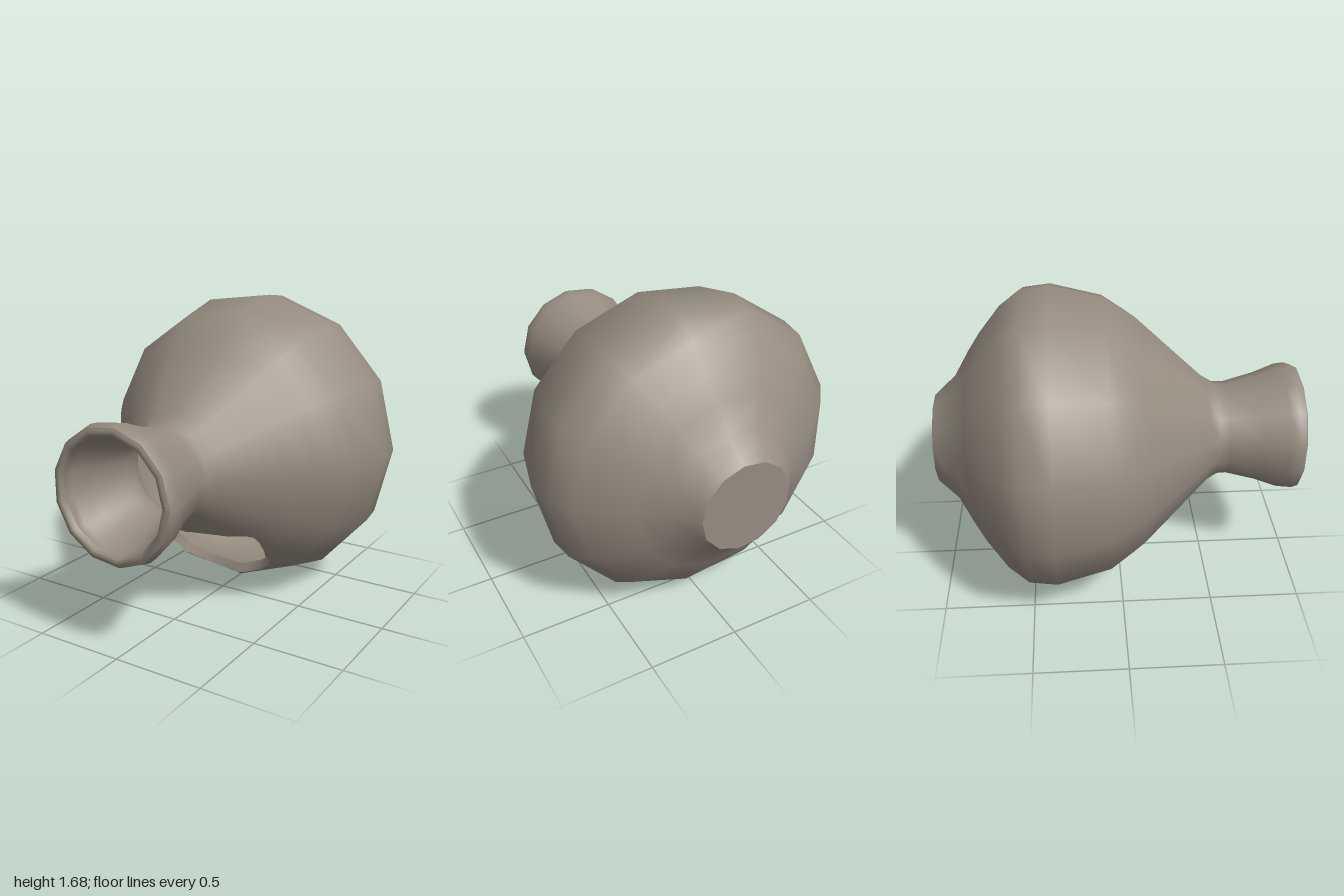
import * as THREE from 'three';

const SIDES = 13, STEP = (Math.PI * 2) / SIDES, WALL = 0.055, DEG = Math.PI / 180;

// Wall profile [radius, z] from the foot to the lip
const PROFILE = [
  [0.25, -1], [0.265, -0.985], [0.355, -0.885], [0.5, -0.8], [0.6, -0.735], [0.745, -0.62],
  [0.83, -0.51], [0.848, -0.36], [0.775, -0.07], [0.65, 0.11], [0.3, 0.48], [0.265, 0.54],
  [0.262, 0.6], [0.31, 0.78], [0.355, 0.9], [0.361, 0.955], [0.35, 0.99],
];
const LAST = PROFILE.length - 1, SHOULDER = 8, NECK = 10;

// Broken opening: [degrees from straight down, near radius, far radius]
const BREAK = [
  [0, 0.35, 0.762], [10, 0.355, 0.757], [19, 0.375, 0.74], [26, 0.4, 0.715], [31, 0.424, 0.68],
  [37, 0.46, 0.61], [41, 0.49, 0.555], [42.5, 0.52, 0.52],
];
const LIMIT = 42.5;

const NORMALS = PROFILE.map((_, i) => {
  const a = PROFILE[Math.max(i - 1, 0)], b = PROFILE[Math.min(i + 1, LAST)];
  const l = Math.hypot(b[0] - a[0], b[1] - a[1]);
  return [(b[1] - a[1]) / l, (a[0] - b[0]) / l];
});

const mix = (a, b, k) => a + (b - a) * k;

// Ratio of the straight-sided outline to a true circle at an angle
function flatness(angle) {
  const a = ((angle % STEP) + STEP) % STEP;
  return Math.cos(STEP / 2) / Math.cos(a - STEP / 2);
}

// Point and normal on the wall, at a depth below the outer skin
function wallPoint(angle, t, depth) {
  const i = Math.min(Math.floor(t), LAST - 1), k = t - i;
  const nr = mix(NORMALS[i][0], NORMALS[i + 1][0], k), nz = mix(NORMALS[i][1], NORMALS[i + 1][1], k);
  const r = (mix(PROFILE[i][0], PROFILE[i + 1][0], k) - nr * depth) * flatness(angle);
  const c = Math.cos(angle), s = Math.sin(angle);
  return {
    p: [r * c, r * s, mix(PROFILE[i][1], PROFILE[i + 1][1], k) - nz * depth],
    n: new THREE.Vector3(nr * c, nr * s, nz).normalize(),
  };
}

// Profile position on the shoulder for a radius
function shoulderAt(r) {
  for (let i = SHOULDER; i < NECK; i++) {
    const a = PROFILE[i][0], b = PROFILE[i + 1][0];
    if (r >= b) return i + Math.max(0, (a - r) / (a - b));
  }
  return NECK;
}

// Ends of the break along the profile at an angle
function breakAt(angle) {
  const d = Math.min(Math.abs(angle / DEG - 270), LIMIT);
  let i = 0;
  while (i < BREAK.length - 2 && d > BREAK[i + 1][0]) i++;
  const a = BREAK[i], b = BREAK[i + 1], k = (d - a[0]) / (b[0] - a[0]), f = flatness(angle);
  return { near: shoulderAt(mix(a[1], b[1], k) / f), far: shoulderAt(mix(a[2], b[2], k) / f) };
}

// Surface through a grid of points; columns run around, rows run along
function grid(columns, flip, ownNormals) {
  const rows = columns[0].length, pos = [], nor = [], index = [];
  columns.forEach((col) => col.forEach(({ p, n }) => {
    pos.push(...p);
    nor.push(...(flip ? n.clone().negate() : n).toArray());
  }));
  for (let i = 0; i < columns.length - 1; i++) {
    for (let j = 0; j < rows - 1; j++) {
      const a = i * rows + j, b = a + rows, c = b + 1, d = a + 1;
      if (flip) index.push(a, c, b, a, d, c);
      else index.push(a, b, c, a, c, d);
    }
  }
  const g = new THREE.BufferGeometry();
  g.setAttribute('position', new THREE.Float32BufferAttribute(pos, 3));
  g.setIndex(index);
  if (ownNormals) g.setAttribute('normal', new THREE.Float32BufferAttribute(nor, 3));
  else g.computeVertexNormals();
  return g;
}

export function createModel() {
  const group = new THREE.Group();
  const clay = new THREE.MeshStandardMaterial({ color: 0x968c80, side: THREE.DoubleSide });
  clay.name = 'greyBrownClay';
  const add = (name, geometry) => {
    const mesh = new THREE.Mesh(geometry, clay);
    mesh.name = name;
    mesh.position.set(-0.012, 0.85, 0);
    group.add(mesh);
    return mesh;
  };

  // Angles: outline corners plus the corners of the break
  const corners = Array.from({ length: SIDES + 1 }, (_, i) => i * STEP);
  const breakAngles = BREAK.flatMap(([d]) => (d ? [270 - d, 270 + d] : [270])).map((d) => d * DEG);
  const angles = [...corners, ...breakAngles].sort((a, b) => a - b);
  const opening = angles.filter((a) => Math.abs(a / DEG - 270) <= LIMIT + 1e-6);

  // Rows along the profile on each side of the break
  const steps = [0, 0.25, 0.5, 0.75, 1];
  const bodyRows = (a) => [
    ...Array.from({ length: SHOULDER }, (_, i) => i),
    ...steps.map((k) => mix(SHOULDER, breakAt(a).far, k)),
  ];
  const neckRows = (a) => [
    ...steps.map((k) => mix(breakAt(a).near, NECK, k)),
    ...Array.from({ length: LAST - NECK }, (_, i) => NECK + 1 + i),
  ];
  const skin = (rows, depth) =>
    grid(angles.map((a) => rows(a).map((t) => wallPoint(a, t, depth))), depth > 0, true);

  // Outer and inner walls
  add('bodyOutside', skin(bodyRows, 0));
  add('bodyInside', skin(bodyRows, WALL));
  add('neckOutside', skin(neckRows, 0));
  add('neckInside', skin(neckRows, WALL));

  // Rounded lip at the mouth
  add('mouthLip', grid(corners.map((a) => [0, 0.25, 0.5, 0.75, 1].map((k) => {
    const point = wallPoint(a, LAST, WALL * k);
    point.p[2] = mix(point.p[2], 1, Math.sin(k * Math.PI));
    return point;
  })), false, false));

  // Wall thickness exposed around the break
  for (const [name, end] of [['breakLowerEdge', 'far'], ['breakUpperEdge', 'near']]) {
    add(name, grid(opening.map((a) => [0, WALL].map((d) => wallPoint(a, breakAt(a)[end], d))),
      end === 'near', false));
  }

  // Flat foot and inner floor
  const foot = add('foot', new THREE.CircleGeometry(0.25, SIDES));
  foot.rotation.x = Math.PI;
  foot.position.z = -1;
  const floorPoint = wallPoint(0, 0, WALL).p;
  add('insideFloor', new THREE.CircleGeometry(floorPoint[0], SIDES)).position.z = floorPoint[2];

  return group;
}
